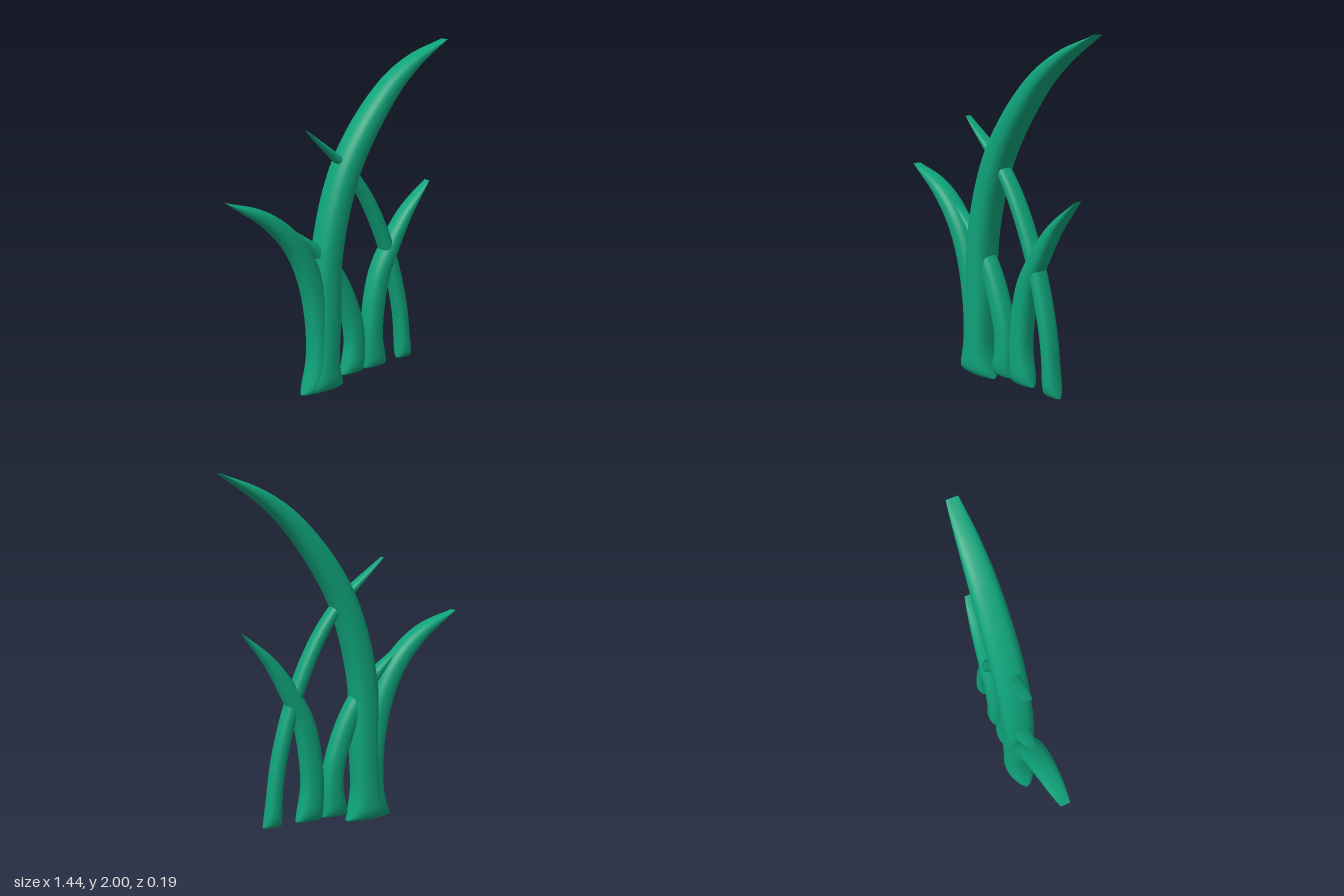
import * as THREE from 'three';

const SIDES = 24, ROWS = 56;
const UP = new THREE.Vector3(0, 1, 0);
const roundPow = (v) => Math.sign(v) * Math.pow(Math.abs(v), 0.8);

// A blade swept up its spine: flared foot, steady stem, sharp tip
function bladeGeometry({ spine, width, flare, depth, taper }) {
  const curve = new THREE.CatmullRomCurve3(spine.map(([x, y]) => new THREE.Vector3(x, y, 0)));
  const pos = [], idx = [];
  for (let i = 0; i <= ROWS; i++) {
    const t = Math.pow(i / ROWS, 1.3);
    const p = curve.getPointAt(t);
    const height = p.y - spine[0][1];
    const near = Math.max(0, 1 - height / 0.25);
    const dir = curve.getTangentAt(t).lerp(UP, near).normalize();
    const half = width * (1 - Math.pow(t, taper)) + flare * near * near;
    // depth narrows to a blunt edge at the tip and rounds under at the foot
    const foot = 0.4 + 0.6 * Math.sqrt(1 - Math.max(0, 1 - height / 0.09) ** 2);
    const thick = depth * foot * (0.35 + 0.65 * (1 - Math.pow(t, 6)));
    for (let j = 0; j < SIDES; j++) {
      const a = (j / SIDES) * Math.PI * 2;
      const c = half * roundPow(Math.cos(a));
      pos.push(p.x + dir.y * c, p.y - dir.x * c, thick * roundPow(Math.sin(a)));
    }
  }
  for (let i = 0; i < ROWS; i++) {
    for (let j = 0; j < SIDES; j++) {
      const a = i * SIDES + j, b = i * SIDES + ((j + 1) % SIDES);
      idx.push(a, a + SIDES, b, b, a + SIDES, b + SIDES);
    }
  }
  // flat base cap with its own vertices for a sharp rim
  const start = pos.length / 3;
  pos.push(...pos.slice(0, SIDES * 3));
  for (let j = 1; j < SIDES - 1; j++) idx.push(start, start + j, start + j + 1);

  const g = new THREE.BufferGeometry();
  g.setAttribute('position', new THREE.Float32BufferAttribute(pos, 3));
  g.setIndex(idx);
  g.computeVertexNormals();
  return g;
}

// Spines run from foot to tip; width and depth are half sizes
const BLADES = [
  {
    name: 'tallBlade', width: 0.083, flare: 0.055, depth: 0.093, taper: 5,
    spine: [[-0.14, 0], [-0.117, 0.45], [-0.1, 0.87], [0.035, 1.34], [0.3, 1.725], [0.485, 1.88], [0.72, 2]],
  },
  {
    name: 'leftBlade', width: 0.067, flare: 0.05, depth: 0.078, taper: 5,
    spine: [[-0.175, 0], [-0.17, 0.4], [-0.225, 0.71], [-0.325, 0.925], [-0.49, 1.095], [-0.72, 1.22]],
  },
  {
    name: 'shortBlade', width: 0.06, flare: 0.02, depth: 0.062, taper: 4,
    spine: [[0.07, 0.05], [0.087, 0.25], [0.057, 0.43], [-0.08, 0.745], [-0.32, 1.01]],
  },
  {
    name: 'rightBlade', width: 0.065, flare: 0.018, depth: 0.066, taper: 3.5,
    spine: [[0.2375, 0.05], [0.216, 0.28], [0.2625, 0.625], [0.35, 0.815], [0.46, 0.995], [0.62, 1.17]],
  },
  {
    name: 'crossingBlade', width: 0.041, flare: 0.014, depth: 0.056, taper: 5,
    spine: [[0.465, 0.05], [0.4175, 0.435], [0.2875, 0.87], [0.085, 1.245], [-0.23, 1.55]],
  },
];

export function createModel() {
  const group = new THREE.Group();
  group.name = 'grassTuft';
  const green = new THREE.MeshStandardMaterial({ color: 0x0fa37a });
  for (const blade of BLADES) {
    const mesh = new THREE.Mesh(bladeGeometry(blade), green);
    mesh.name = blade.name;
    group.add(mesh);
  }
  return group;
}
